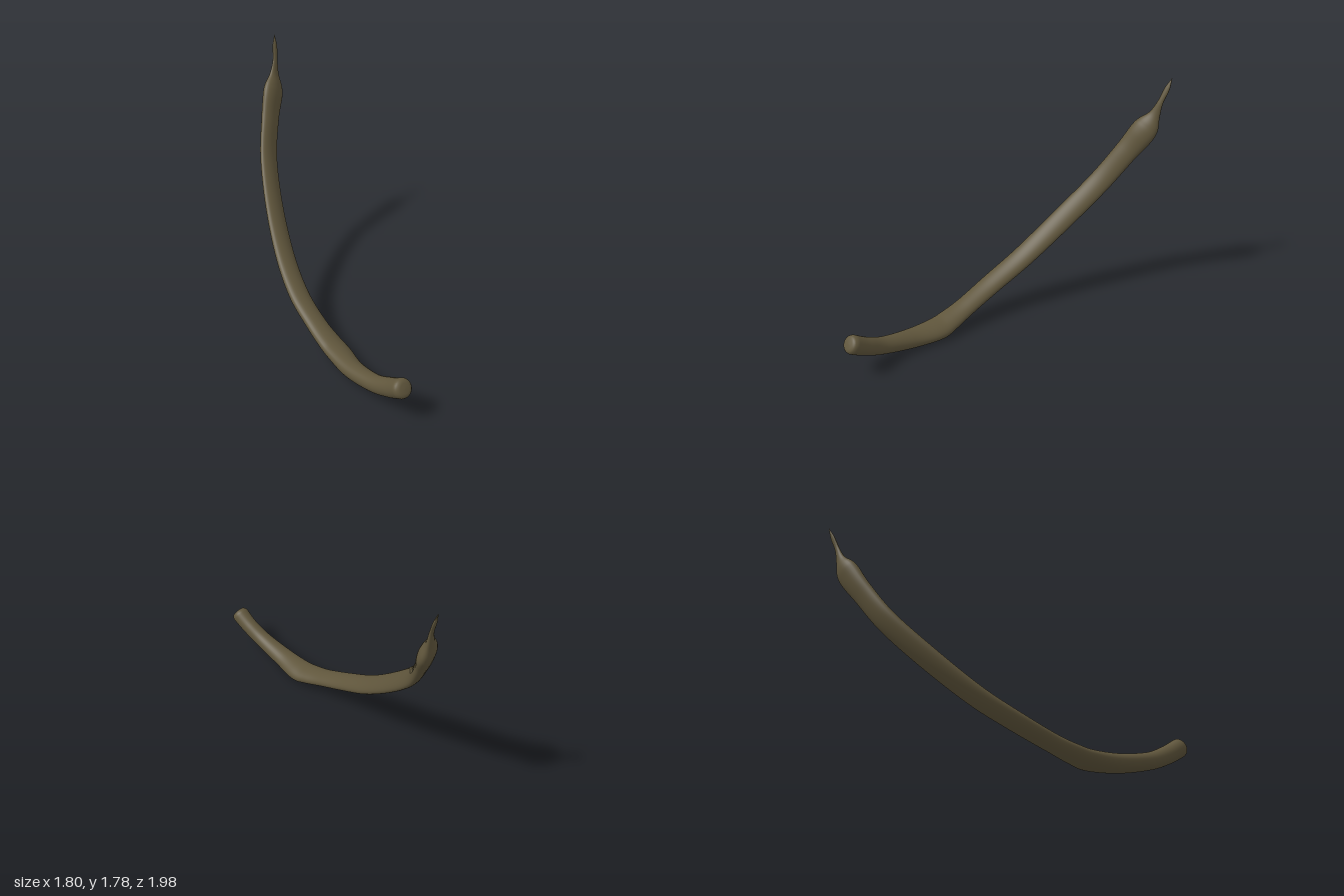
import * as THREE from 'three';

// Stations along the limb, from blunt end to pointed tip:
// centre x, y, z, then width, thickness, and twist in degrees
const STATIONS = [
  [0.84, 0.262, 0.917, 0.14, 0.14, 0],
  [0.74, 0.19, 0.855, 0.13, 0.135, 0],
  [0.6, 0.12, 0.775, 0.135, 0.125, 0],
  [0.4, 0.07, 0.64, 0.165, 0.125, 0],
  [0.24, 0.068, 0.505, 0.2, 0.115, 0],
  [0.14, 0.092, 0.438, 0.19, 0.105, 0],
  [0, 0.147, 0.345, 0.17, 0.098, 0],
  [-0.2, 0.255, 0.195, 0.172, 0.096, -4],
  [-0.4, 0.42, -0.01, 0.175, 0.09, -10],
  [-0.6, 0.675, -0.265, 0.178, 0.085, -17],
  [-0.755, 0.95, -0.515, 0.176, 0.083, -20],
  [-0.82, 1.2, -0.7, 0.18, 0.093, -20],
  [-0.842, 1.35, -0.805, 0.2, 0.108, -20],
  [-0.853, 1.42, -0.85, 0.175, 0.095, -20],
  [-0.862, 1.5, -0.89, 0.09, 0.05, -20],
  [-0.868, 1.6, -0.926, 0.045, 0.028, -15],
  [-0.885, 1.7, -0.965, 0.042, 0.022, -10],
  [-0.9, 1.78, -0.995, 0.003, 0.003, -10],
];
const SIDES = 32;
const RINGS = 160;
const WIDE_AXIS = new THREE.Vector3(0.59, -0.26, -0.765).normalize();

function limbGeometry() {
  const path = new THREE.CatmullRomCurve3(
    STATIONS.map(s => new THREE.Vector3(s[0], s[1], s[2])), false, 'catmullrom');
  const section = new THREE.CatmullRomCurve3(
    STATIONS.map(s => new THREE.Vector3(s[3], s[4], s[5])), false, 'catmullrom');

  // Each ring: curve parameter, scale, and shift back along the path
  const rings = [[0, 0.001, 0.034], [0, 0.5, 0.033], [0, 0.76, 0.029], [0, 0.91, 0.018]];
  for (let i = 0; i <= RINGS; i++) rings.push([i / RINGS, 1, 0]);
  rings.push([1, 0.001, 0]);

  const positions = [];
  const indices = [];
  rings.forEach(([u, scale, shift], i) => {
    const tangent = path.getTangent(u);
    const centre = path.getPoint(u).addScaledVector(tangent, -shift);
    const size = section.getPoint(u);
    const wide = WIDE_AXIS.clone()
      .addScaledVector(tangent, -WIDE_AXIS.dot(tangent)).normalize()
      .applyAxisAngle(tangent, -THREE.MathUtils.degToRad(size.z));
    const thin = wide.clone().cross(tangent);
    for (let j = 0; j < SIDES; j++) {
      const a = (j / SIDES) * Math.PI * 2;
      const p = centre.clone()
        .addScaledVector(thin, Math.cos(a) * scale * size.y / 2)
        .addScaledVector(wide, Math.sin(a) * scale * size.x / 2);
      positions.push(p.x, p.y, p.z);
      if (i < rings.length - 1) {
        const k = (j + 1) % SIDES;
        const r = i * SIDES;
        const n = r + SIDES;
        indices.push(r + j, r + k, n + j, r + k, n + k, n + j);
      }
    }
  });

  const geometry = new THREE.BufferGeometry();
  geometry.setAttribute('position', new THREE.Float32BufferAttribute(positions, 3));
  geometry.setIndex(indices);
  geometry.computeVertexNormals();
  return geometry;
}

export function createModel() {
  const group = new THREE.Group();
  group.name = 'curvedPod';
  const pod = new THREE.Mesh(limbGeometry(), new THREE.MeshStandardMaterial({ color: 0x60563c }));
  pod.name = 'podBody';
  group.add(pod);
  return group;
}
